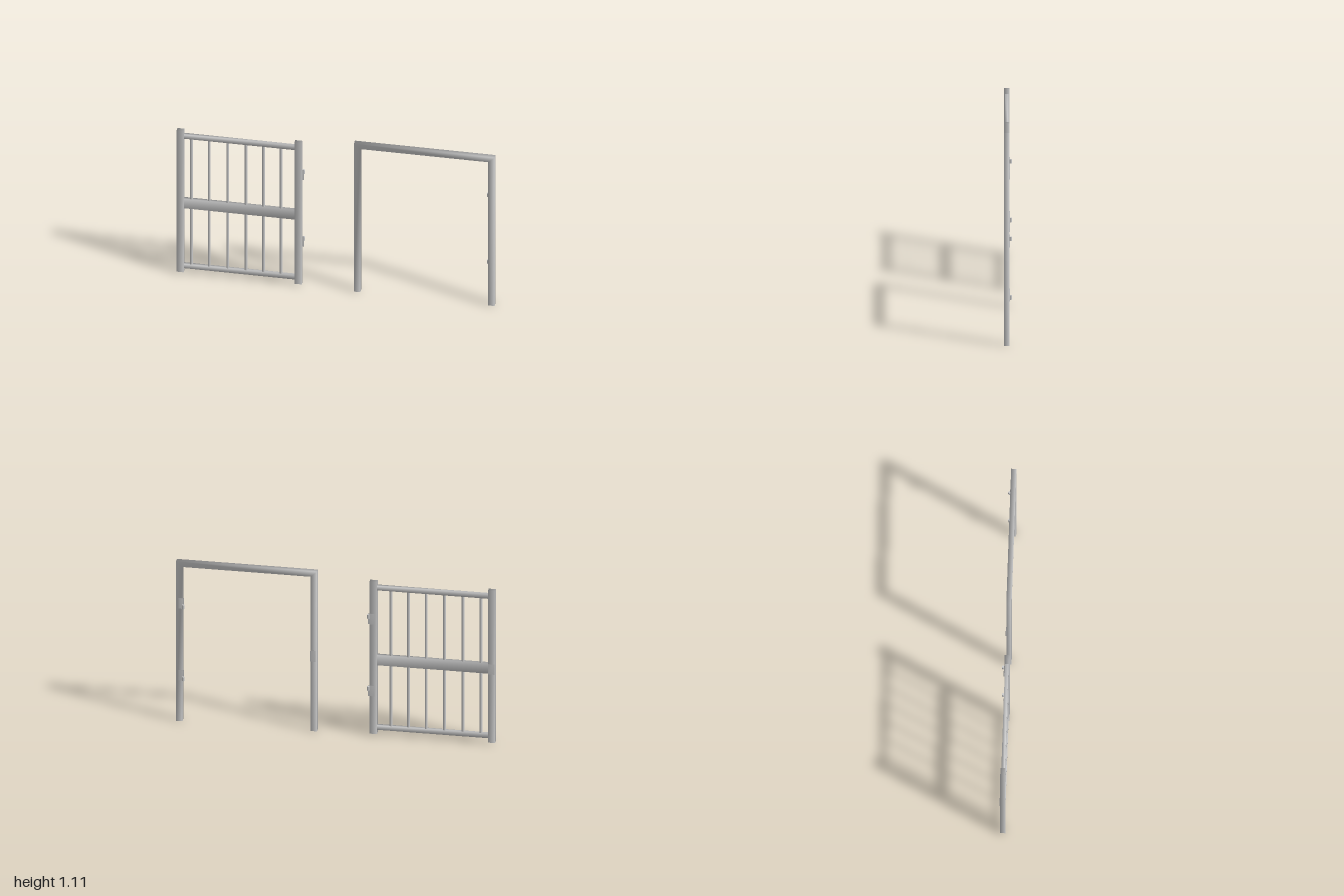
import * as THREE from 'three';
import { mergeVertices } from 'three/addons/utils/BufferGeometryUtils.js';

const grey = new THREE.MeshStandardMaterial({ color: 0xcccccc });
const greyOpen = new THREE.MeshStandardMaterial({ color: 0xcccccc, side: THREE.DoubleSide });

// Box given by its extents, with normals shared across the corners
function softBox(name, x0, x1, y0, y1, z0, z1) {
  let g = new THREE.BoxGeometry(x1 - x0, y1 - y0, z1 - z0);
  g.deleteAttribute('normal');
  g.deleteAttribute('uv');
  g = mergeVertices(g);
  g.computeVertexNormals();
  const m = new THREE.Mesh(g, grey);
  m.name = name;
  m.position.set((x0 + x1) / 2, (y0 + y1) / 2, (z0 + z1) / 2);
  return m;
}

function rod(name, x, y0, y1, z, r) {
  const m = new THREE.Mesh(new THREE.CylinderGeometry(r, r, y1 - y0, 10), grey);
  m.name = name;
  m.position.set(x, (y0 + y1) / 2, z);
  return m;
}

// Mitred hollow door frame: one rectangular section swept up, across and down
function doorFrame(z0, z1) {
  const outer = [[0.115, 0], [0.115, 1.11], [0.998, 1.11], [0.998, 0]];
  const inner = [[0.155, 0], [0.155, 1.073], [0.958, 1.073], [0.958, 0]];
  const pos = [], idx = [];
  outer.forEach((o, i) => {
    const n = inner[i];
    pos.push(...o, z1, ...n, z1, ...n, z0, ...o, z0);
    if (i === 3) return;
    for (let k = 0; k < 4; k++) {
      const a = i * 4 + k, b = i * 4 + (k + 1) % 4;
      idx.push(a, b, b + 4, a, b + 4, a + 4);
    }
  });
  const g = new THREE.BufferGeometry();
  g.setAttribute('position', new THREE.Float32BufferAttribute(pos, 3));
  g.setIndex(idx);
  g.computeVertexNormals();
  const m = new THREE.Mesh(g, greyOpen);
  m.name = 'doorFrame';
  return m;
}

export function createModel() {
  const model = new THREE.Group();
  model.name = 'barredGateAndFrame';
  const back = -0.008, front = 0.0245, plateBack = -0.012;

  // Gate leaf: posts, rails and two rows of bars
  const gate = new THREE.Group();
  gate.name = 'gate';
  gate.add(softBox('leftPost', -1, -0.955, 0.013, 1.068, back, front));
  gate.add(softBox('rightPost', -0.26, -0.213, 0.013, 1.068, back, front));
  for (const [name, y0, y1] of [['bottomRail', 0.041, 0.071], ['middleRail', 0.49, 0.56], ['topRail', 1.011, 1.041]]) {
    gate.add(softBox(name, -0.958, -0.257, y0, y1, -0.003, 0.019));
  }
  for (const x of [-0.909, -0.797, -0.681, -0.566, -0.456, -0.346]) {
    gate.add(rod('lowerBar', x, 0.065, 0.495, 0.008, 0.009));
    gate.add(rod('upperBar', x, 0.555, 1.017, 0.008, 0.009));
  }
  gate.add(softBox('lockPlate', -0.996, -0.957, 0.49, 0.56, plateBack, back + 0.002));

  // Surrounding frame and its strike plate
  const frame = new THREE.Group();
  frame.name = 'frame';
  frame.add(doorFrame(back, front));
  frame.add(softBox('strikePlate', 0.125, 0.157, 0.485, 0.56, plateBack, back + 0.002));

  // Hinge halves: gate barrel sits just above the matching frame barrel
  for (const y of [0.316, 0.816]) {
    gate.add(softBox('hingePlate', -0.246, -0.206, y - 0.04, y + 0.032, plateBack, back + 0.002));
    gate.add(rod('hingeBarrel', -0.208, y + 0.002, y + 0.029, -0.0165, 0.008));
    frame.add(softBox('hingePlate', 0.95, 0.983, y - 0.032, y + 0.04, plateBack, back + 0.002));
    frame.add(rod('hingeBarrel', 0.951, y - 0.029, y - 0.002, -0.0165, 0.008));
  }

  model.add(gate, frame);
  return model;
}
